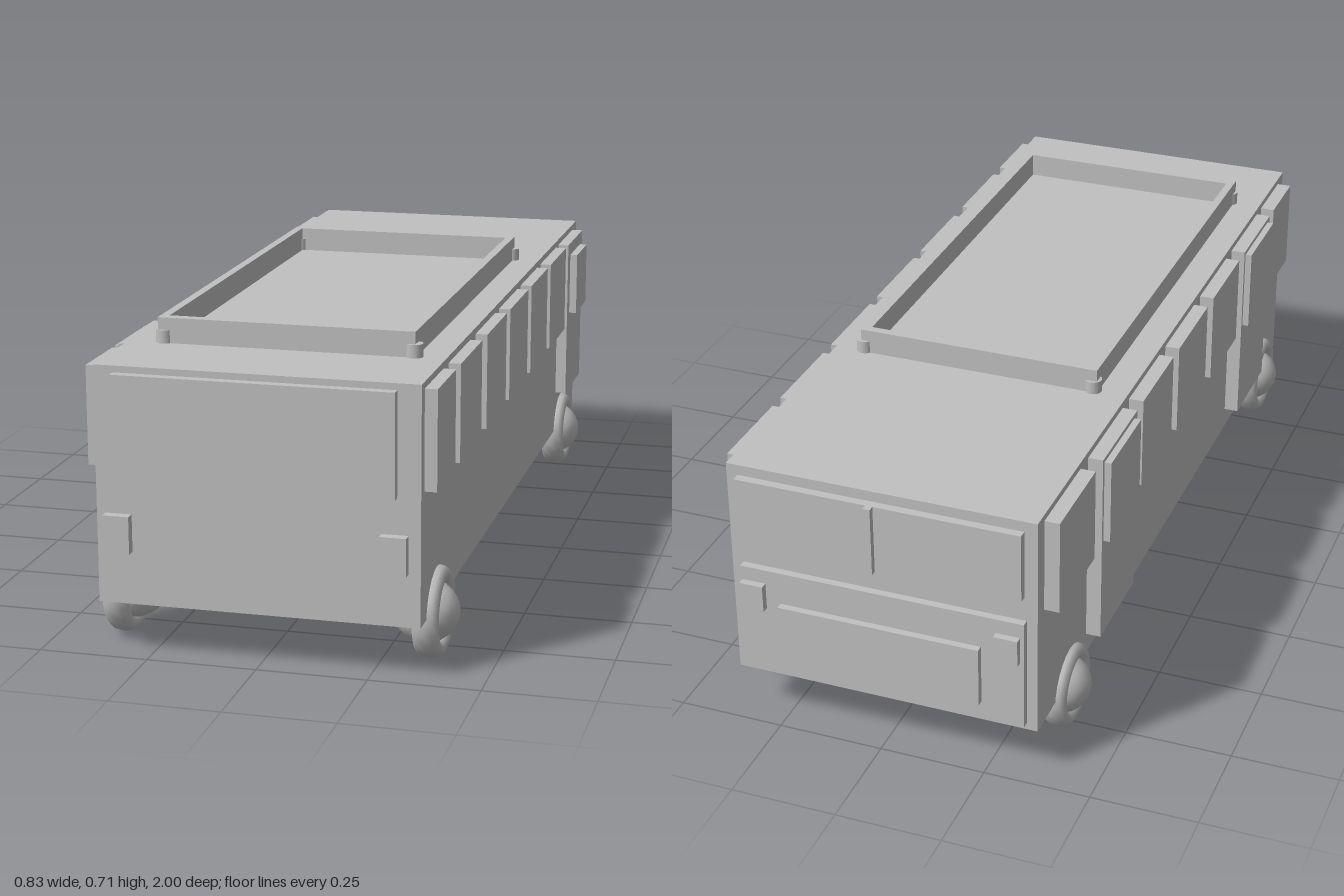
import * as THREE from 'three';

export function createModel() {
  const model = new THREE.Group();
  model.name = 'bus';
  const grey = new THREE.MeshStandardMaterial({ color: 0xc0c0c0 });
  grey.name = 'plain grey';
  const facetGrey = grey;

  const add = (name, geometry, parent = model) => {
    const mesh = new THREE.Mesh(geometry, grey);
    mesh.name = name;
    parent.add(mesh);
    return mesh;
  };
  // Box given by its lower and upper limits on each axis
  const block = (name, x0, x1, y0, y1, z0, z1) => {
    const g = new THREE.BoxGeometry(x1 - x0, y1 - y0, z1 - z0);
    g.translate((x0 + x1) / 2, (y0 + y1) / 2, (z0 + z1) / 2);
    return add(name, g);
  };
  const L = -0.365, R = 0.362, front = 0.978, back = -0.965;

  block('body', L, R, 0.122, 0.66, back, front);

  // Front face
  block('windshield', -0.32, 0.31, 0.41, 0.645, front, 1);
  block('headlight', -0.345, -0.285, 0.242, 0.328, front, 1);
  block('headlight', 0.275, 0.335, 0.242, 0.328, front, 1);

  // Side windows on +x, then the emergency door with its pane
  for (const [z0, z1] of [[0.77, 0.95], [0.49, 0.72], [0.2, 0.43],
    [-0.08, 0.155], [-0.355, -0.125], [-0.635, -0.4]]) {
    block('sideWindow', R, 0.39, 0.42, 0.645, z0, z1);
  }
  block('emergencyDoor', R, 0.39, 0.23, 0.645, -0.905, -0.675);
  block('emergencyDoorWindow', 0.39, 0.409, 0.45, 0.612, -0.87, -0.71);

  // Side windows and two passenger doors on -x
  for (const [z0, z1] of [[-0.925, -0.695], [-0.36, -0.13], [-0.085, 0.15],
    [0.2, 0.43], [0.76, 0.93]]) {
    block('sideWindow', -0.4, L, 0.42, 0.645, z0, z1);
  }
  for (const [z0, z1] of [[-0.645, -0.405], [0.48, 0.72]]) {
    block('passengerDoor', -0.4, L, 0.175, 0.645, z0, z1);
    block('passengerDoorWindow', -0.416, -0.4, 0.43, 0.635, z0 + 0.01, z1 - 0.02);
  }

  // Rear face
  block('rearWindow', -0.335, 0.335, 0.47, 0.635, -0.985, back);
  block('rearWindowDivider', 0.005, 0.022, 0.47, 0.635, -1, -0.985);
  block('enginePanel', -0.34, 0.335, 0.14, 0.41, -0.983, back);
  block('engineGrille', -0.24, 0.24, 0.185, 0.33, -1, -0.983);
  for (const s of [-1, 1]) {
    block('tailLight', s * 0.303 - 0.028, s * 0.303 + 0.028, 0.31, 0.375, -1, -0.983);
  }

  // Roof frame with corner posts
  const frame = new THREE.Shape();
  frame.moveTo(-0.295, -0.75).lineTo(0.295, -0.75).lineTo(0.295, 0.386).lineTo(-0.295, 0.386).closePath();
  const hole = new THREE.Path();
  hole.moveTo(-0.275, -0.725).lineTo(-0.275, 0.365).lineTo(0.275, 0.365).lineTo(0.275, -0.725).closePath();
  frame.holes.push(hole);
  const rack = add('roofFrame', new THREE.ExtrudeGeometry(frame, { depth: 0.058, bevelEnabled: false }));
  rack.rotation.x = -Math.PI / 2;
  rack.position.y = 0.66;
  for (const x of [-0.283, 0.29]) {
    for (const z of [-0.375, 0.738]) {
      add('roofFramePost', new THREE.CylinderGeometry(0.02, 0.02, 0.03, 16)).position.set(x, 0.675, z);
    }
  }

  // Wheels: a rounded tyre around a domed hub, joined by axles
  for (const [z, r] of [[0.82, 0.105], [-0.755, 0.1]]) {
    for (const s of [-1, 1]) {
      const wheel = new THREE.Group();
      wheel.name = 'wheel';
      wheel.position.set(s * 0.355, 0.108, z);
      const tyre = new THREE.TorusGeometry(r - 0.021, 0.021, 10, 24);
      tyre.scale(1, 1, 1.45).rotateY(Math.PI / 2);
      add('tyre', tyre, wheel);
      const hub = new THREE.SphereGeometry(0.072, 16, 12);
      hub.rotateZ(Math.PI / 2).scale(1.05, 1, 1);
      add('hub', hub, wheel).position.x = -s * 0.016;
      model.add(wheel);
    }
    const axle = new THREE.CylinderGeometry(0.025, 0.025, 0.64, 16);
    axle.rotateZ(Math.PI / 2);
    add('axle', axle).position.set(0, 0.1, z);
  }
  const shaft = new THREE.CylinderGeometry(0.024, 0.024, 1.575, 16);
  shaft.rotateX(Math.PI / 2);
  add('driveShaft', shaft).position.set(0, 0.1, 0.0325);

  return model;
}
